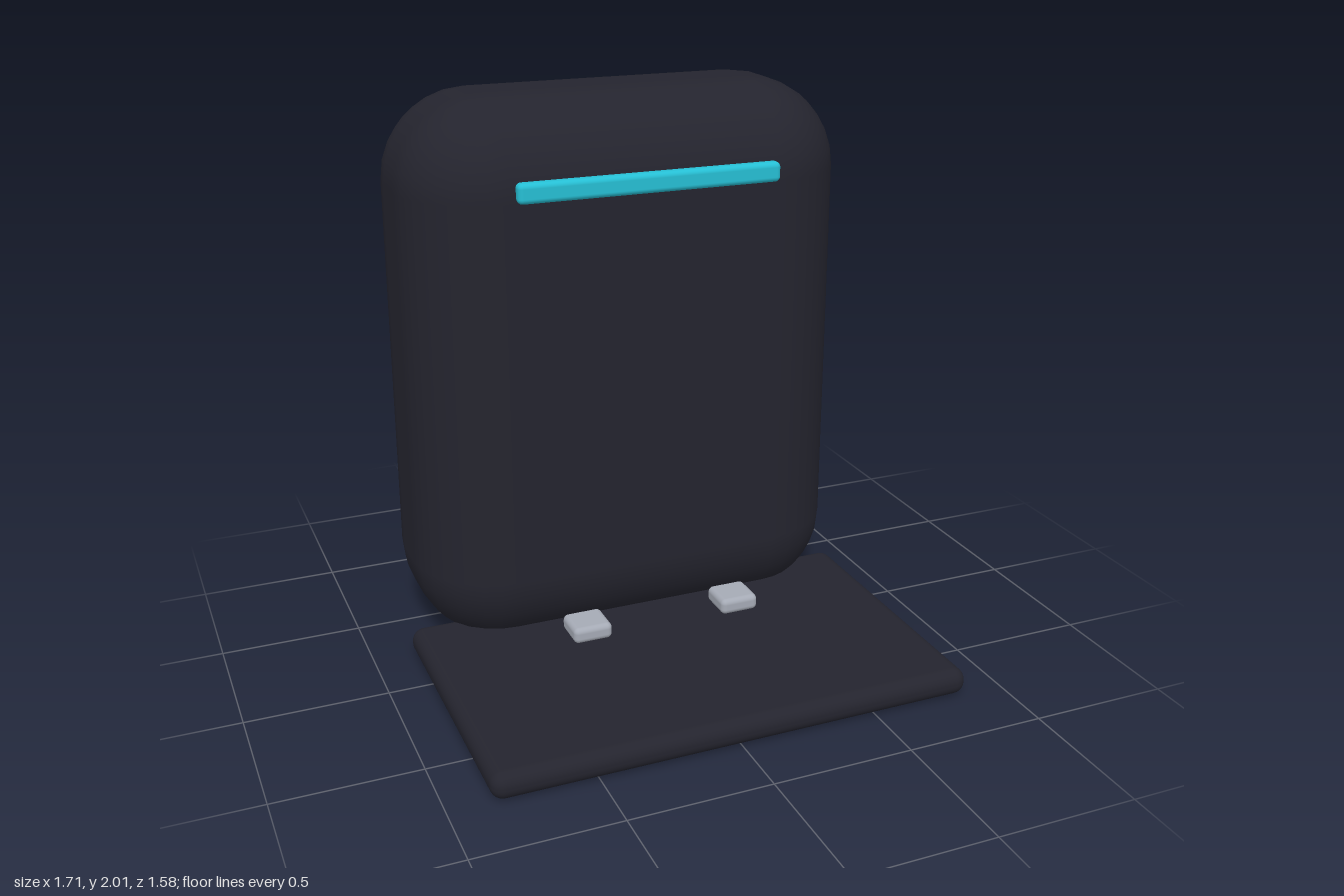
import * as THREE from 'three';
import { RoundedBoxGeometry } from 'three/addons/geometries/RoundedBoxGeometry.js';

const material = (name, color) => {
  const m = new THREE.MeshStandardMaterial({ color });
  m.name = name;
  return m;
};

// Rounded box given by its limits on each axis
function block(name, mat, [x0, x1], [y0, y1], [z0, z1], radius) {
  const geo = new RoundedBoxGeometry(x1 - x0, y1 - y0, z1 - z0, 4, radius);
  const mesh = new THREE.Mesh(geo, mat);
  mesh.name = name;
  mesh.position.set((x0 + x1) / 2, (y0 + y1) / 2, (z0 + z1) / 2);
  return mesh;
}

export function createModel() {
  const shell = material('dark shell', 0x24242e);
  const glow = material('cyan light', 0x26bfd4);
  const metal = material('grey metal', 0xa5aab5);

  const model = new THREE.Group();
  model.name = 'backpack';

  // Tall rounded body and the flat panel opened out in front of it
  model.add(block('body', shell, [-0.812, 0.812], [-0.004, 2.004], [-0.79, -0.02], 0.32));
  model.add(block('frontPanel', shell, [-0.857, 0.857], [0, 0.096], [-0.262, 0.786], 0.045));

  // Light strip across the upper front
  model.add(block('lightStrip', glow, [-0.475, 0.475], [1.685, 1.755], [-0.05, 0.006], 0.018));

  // Pair of small clasps
  for (const [name, x] of [['leftClasp', 0.286], ['rightClasp', -0.286]]) {
    model.add(block(name, metal, [x - 0.072, x + 0.072], [0.117, 0.176], [0, 0.14], 0.02));
  }
  return model;
}
